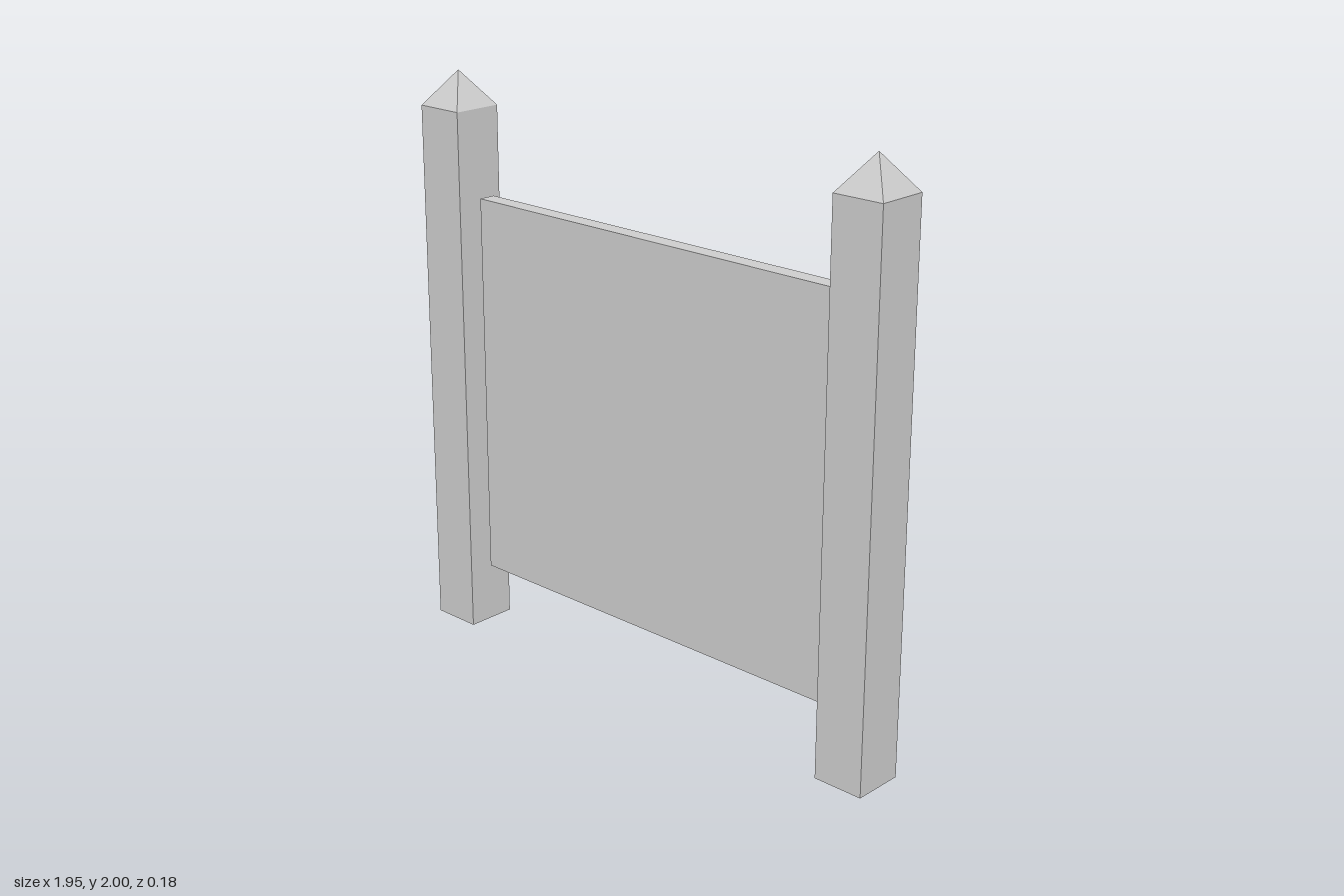
import * as THREE from 'three';

export function createModel() {
  const model = new THREE.Group();
  model.name = 'fencePanel';
  const grey = new THREE.MeshStandardMaterial({ color: 0xcccccc, flatShading: true });
  grey.name = 'light grey';

  const add = (name, geometry, x, y, z, parent = model) => {
    const mesh = new THREE.Mesh(geometry, grey);
    mesh.name = name;
    mesh.position.set(x, y, z);
    parent.add(mesh);
  };

  // Square posts with pyramid caps
  const size = 0.18, shaft = 1.88, capHeight = 0.12;
  const capGeometry = new THREE.ConeGeometry(size / Math.SQRT2, capHeight, 4, 1, true).rotateY(Math.PI / 4);
  for (const [side, sign] of [['left', 1], ['right', -1]]) {
    const post = new THREE.Group();
    post.name = side + 'Post';
    post.position.x = sign * 0.887;
    add(side + 'PostShaft', new THREE.BoxGeometry(size, shaft, size), 0, shaft / 2, 0, post);
    add(side + 'PostCap', capGeometry, 0, shaft + capHeight / 2, 0, post);
    model.add(post);
  }

  // Flat board between the posts
  const width = 1.532;
  add('board', new THREE.BoxGeometry(width, 1.355, 0.06), 0, 0.9025, -0.005);

  // Two horizontal rails on the back of the board
  const railGeometry = new THREE.BoxGeometry(width, 0.12, 0.045);
  add('upperRail', railGeometry, 0, 1.37, -0.0575);
  add('lowerRail', railGeometry, 0, 0.435, -0.0575);

  return model;
}
